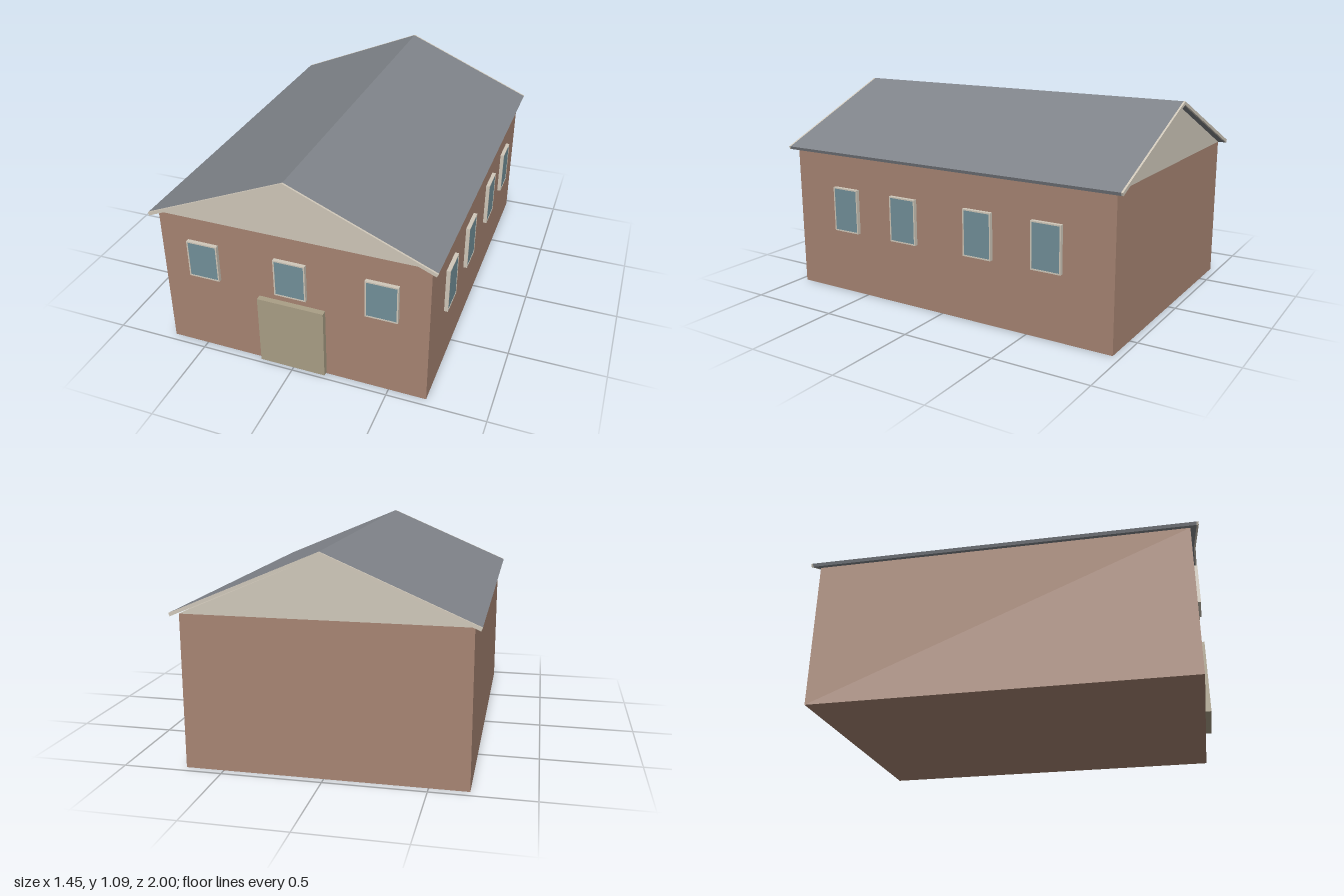
import * as THREE from 'three';

const paint = (color) => new THREE.MeshStandardMaterial({ color, flatShading: true });
const brick = paint(0xa78573), cream = paint(0xd0c8ba), slate = paint(0x80848a);
const glassBlue = paint(0x72909a), doorTan = paint(0xaa9f86);

export function createModel() {
  const model = new THREE.Group();

  const add = (name, geometry, material, x = 0, y = 0, z = 0, parent = model) => {
    const mesh = new THREE.Mesh(geometry, material);
    mesh.name = name;
    mesh.position.set(x, y, z);
    parent.add(mesh);
    return mesh;
  };

  // Extrude an outline in xy, centred on z
  const prism = (points, depth) =>
    new THREE.ExtrudeGeometry(
      new THREE.Shape(points.map(([x, y]) => new THREE.Vector2(x, y))),
      { depth, bevelEnabled: false }
    ).translate(0, 0, -depth / 2);

  // Brick body and gable ends
  add('walls', new THREE.BoxGeometry(1.385, 0.772, 1.92), brick, 0, 0.386, 0);
  add('gables', prism([[-0.6925, 0.772], [0.6925, 0.772], [0, 1.072]], 1.92), cream);

  // Pitched roof slabs with pale trim along both gable ends
  const slope = [[0, 1.09], [0, 1.073], [0.721, 0.766], [0.727, 0.782]];
  for (const side of [1, -1]) {
    const outline = slope.map(([x, y]) => [x * side, y]);
    const label = side > 0 ? 'left' : 'right';
    add(label + 'Roof', prism(outline, 1.98), slate);
    for (const end of [1, -1]) {
      add(label + (end > 0 ? 'Front' : 'Back') + 'RoofTrim', prism(outline, 0.01), cream, 0, 0, end * 0.995);
    }
  }

  // Front door
  add('door', new THREE.BoxGeometry(0.348, 0.386, 0.03), doorTan, 0, 0.204, 0.975);

  // Framed window facing +z, standing on its local z = 0
  const makeWindow = (name, width, height, rim) => {
    const unit = new THREE.Group();
    unit.name = name;
    const depth = 0.02;
    for (const s of [1, -1]) {
      add('frameRail', new THREE.BoxGeometry(width, rim, depth), cream, 0, s * (height - rim) / 2, depth / 2, unit);
      add('frameStile', new THREE.BoxGeometry(rim, height - 2 * rim, depth), cream, s * (width - rim) / 2, 0, depth / 2, unit);
    }
    add('glass', new THREE.BoxGeometry(width - 2 * rim, height - 2 * rim, 0.018), glassBlue, 0, 0, 0.009, unit);
    model.add(unit);
    return unit;
  };

  // Three windows across the front
  for (const x of [-0.463, 0, 0.463]) {
    makeWindow('frontWindow', 0.164, 0.204, 0.007).position.set(x, 0.542, 0.96);
  }

  // Four windows along the left wall
  for (const z of [0.617, 0.232, -0.228, -0.613]) {
    const unit = makeWindow('sideWindow', 0.162, 0.242, 0.007);
    unit.position.set(0.6925, 0.465, z);
    unit.rotation.y = Math.PI / 2;
  }

  return model;
}
